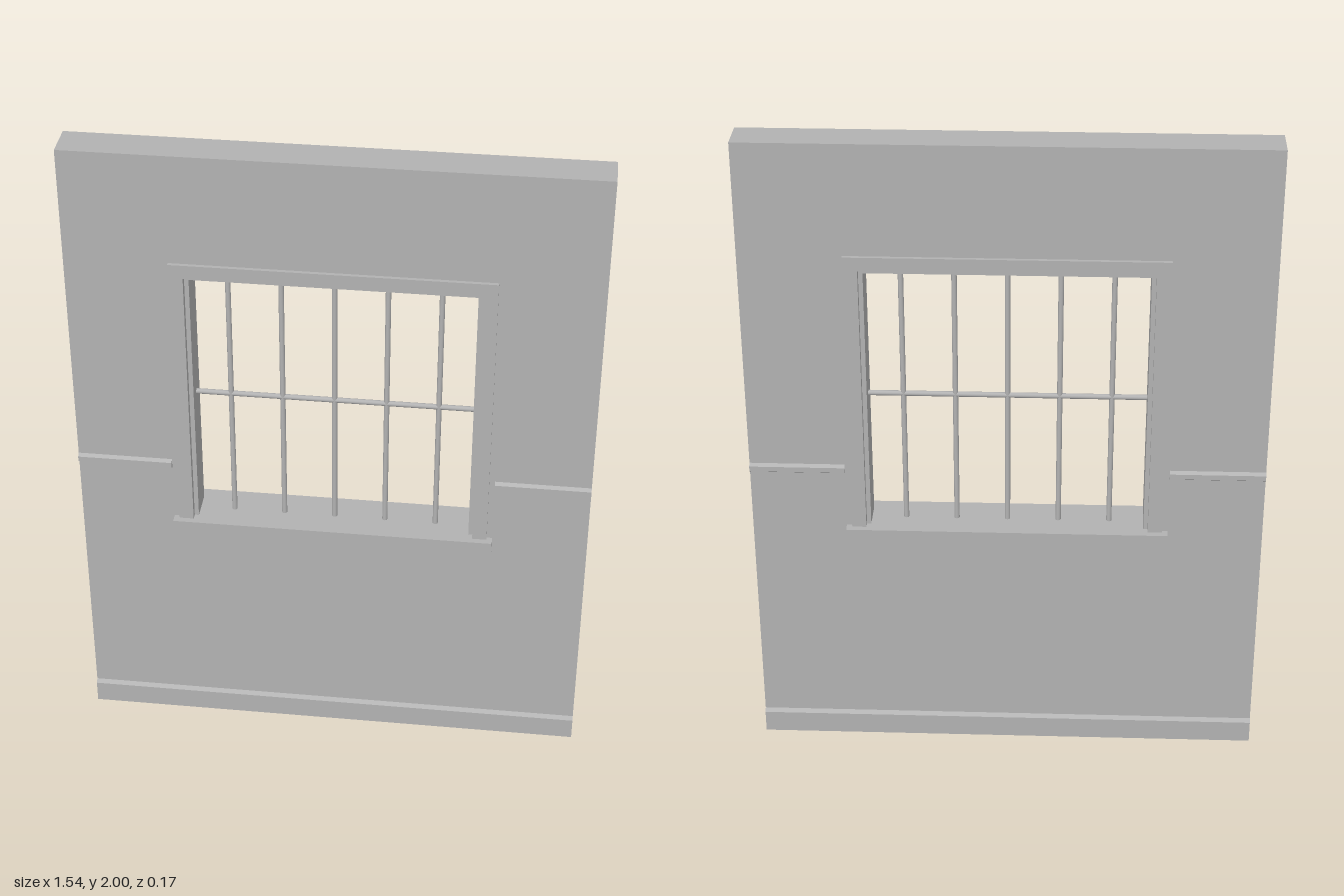
import * as THREE from 'three';

const plaster = new THREE.MeshStandardMaterial({ color: 0xb2b2b2 });
plaster.name = 'plainGrey';

const WALL_X = 0.77, WALL_Z = 0.057, TRIM_Z = 0.068;

function addMesh(group, name, geometry, x = 0, y = 0, z = 0) {
  const mesh = new THREE.Mesh(geometry, plaster);
  mesh.name = name;
  mesh.position.set(x, y, z);
  group.add(mesh);
  return mesh;
}

function rectangle(path, x0, y0, x1, y1) {
  path.moveTo(x0, y0);
  path.lineTo(x1, y0);
  path.lineTo(x1, y1);
  path.lineTo(x0, y1);
  path.closePath();
  return path;
}

// Slab with a rectangular hole, centred on z = 0
function holedSlab(outer, inner, halfDepth) {
  const shape = rectangle(new THREE.Shape(), ...outer);
  shape.holes.push(rectangle(new THREE.Path(), ...inner));
  const geometry = new THREE.ExtrudeGeometry(shape, { depth: halfDepth * 2, bevelEnabled: false });
  return geometry.translate(0, 0, -halfDepth);
}

// Extrude a z-y profile along x, from x0 to x1
function moulding(points, x0, x1) {
  const shape = new THREE.Shape(points.map(([z, y]) => new THREE.Vector2(-z, y)));
  const geometry = new THREE.ExtrudeGeometry(shape, { depth: x1 - x0, bevelEnabled: false });
  return geometry.rotateY(Math.PI / 2).translate(x0, 0, 0);
}

export function createModel() {
  const model = new THREE.Group();
  model.name = 'wallWithBarredWindow';

  // Wall panel and its plinth with a chamfered top
  addMesh(model, 'wall', holedSlab([-WALL_X, 0, WALL_X, 2], [-0.425, 0.755, 0.425, 1.62], WALL_Z));
  addMesh(model, 'baseboard', moulding([
    [-TRIM_Z, 0], [TRIM_Z, 0], [TRIM_Z, 0.07], [WALL_Z, 0.08], [-WALL_Z, 0.08], [-TRIM_Z, 0.07],
  ], -WALL_X, WALL_X));

  // Raised window surround and the recessed lining inside it
  addMesh(model, 'windowSurround',
    holedSlab([-0.468, 0.76, 0.468, 1.662], [-0.425, 0.762, 0.425, 1.62], TRIM_Z));
  addMesh(model, 'windowLining',
    holedSlab([-0.43, 0.755, 0.43, 1.625], [-0.412, 0.765, 0.412, 1.605], 0.048));

  // Sill projecting on both faces
  addMesh(model, 'windowSill', new THREE.BoxGeometry(0.97, 0.03, 0.174), 0, 0.755, 0);

  // Chair rails on both sides of the window
  const railProfile = [
    [-WALL_Z, 0.95], [WALL_Z, 0.95], [TRIM_Z, 0.957], [TRIM_Z, 0.973],
    [WALL_Z, 0.98], [-WALL_Z, 0.98], [-TRIM_Z, 0.973], [-TRIM_Z, 0.957],
  ];
  addMesh(model, 'leftRail', moulding(railProfile, 0.485, WALL_X));
  addMesh(model, 'rightRail', moulding(railProfile, -WALL_X, -0.485));

  // Window bars
  const bars = new THREE.Group();
  bars.name = 'windowBars';
  model.add(bars);
  for (let i = -2; i <= 2; i++) {
    addMesh(bars, 'verticalBar', new THREE.CylinderGeometry(0.008, 0.008, 0.84, 12), i * 0.154, 1.187, 0);
  }
  addMesh(bars, 'crossBar', new THREE.CylinderGeometry(0.008, 0.008, 0.826, 12), 0, 1.195, 0)
    .rotation.z = Math.PI / 2;

  return model;
}
